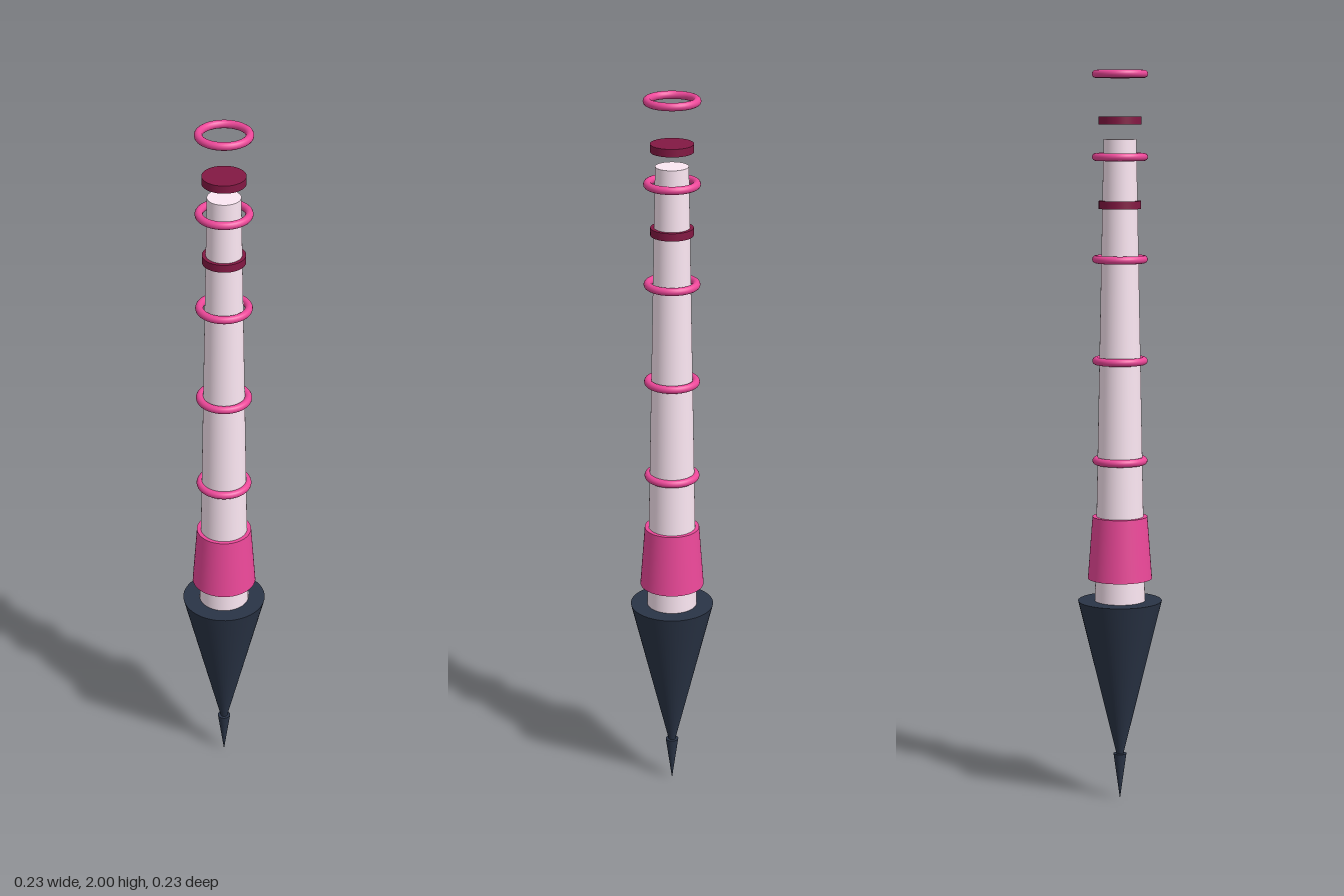
import * as THREE from 'three';

const SEG = 48;
const material = (color) => new THREE.MeshStandardMaterial({ color });

export function createModel() {
  const model = new THREE.Group();
  const pale = material(0xfce7f3);
  const pink = material(0xec4899);
  const wine = material(0x831843);
  const slate = material(0x2a3446);

  const add = (name, geometry, mat, y) => {
    const mesh = new THREE.Mesh(geometry, mat);
    mesh.name = name;
    mesh.position.y = y;
    model.add(mesh);
    return mesh;
  };
  // Round tapered part between two heights
  const taper = (name, mat, y0, y1, r0, r1) =>
    add(name, new THREE.CylinderGeometry(r1, r0, y1 - y0, SEG), mat, (y0 + y1) / 2);

  // Pointed foot: a long cone pointing down with a fine needle below it
  taper('needleTip', slate, 0, 0.13, 0, 0.018);
  taper('lowerCone', slate, 0.09, 0.563, 0, 0.115);

  // Tapering shaft and its flared sleeve
  taper('shaft', pale, 0.55, 1.818, 0.069, 0.044);
  taper('sleeve', pink, 0.625, 0.797, 0.088, 0.075);

  // Dark collar on the shaft and the floating disc above it
  taper('collar', wine, 1.633, 1.654, 0.057, 0.057);
  taper('floatingDisc', wine, 1.857, 1.878, 0.057, 0.057);

  // Rings around the shaft, the last one floating at the top
  const ringGeometry = new THREE.TorusGeometry(0.0645, 0.0105, 16, SEG).rotateX(Math.PI / 2);
  [0.951, 1.224, 1.498, 1.771, 1.99].forEach((y, i) => add(`ring${i + 1}`, ringGeometry, pink, y));

  return model;
}
